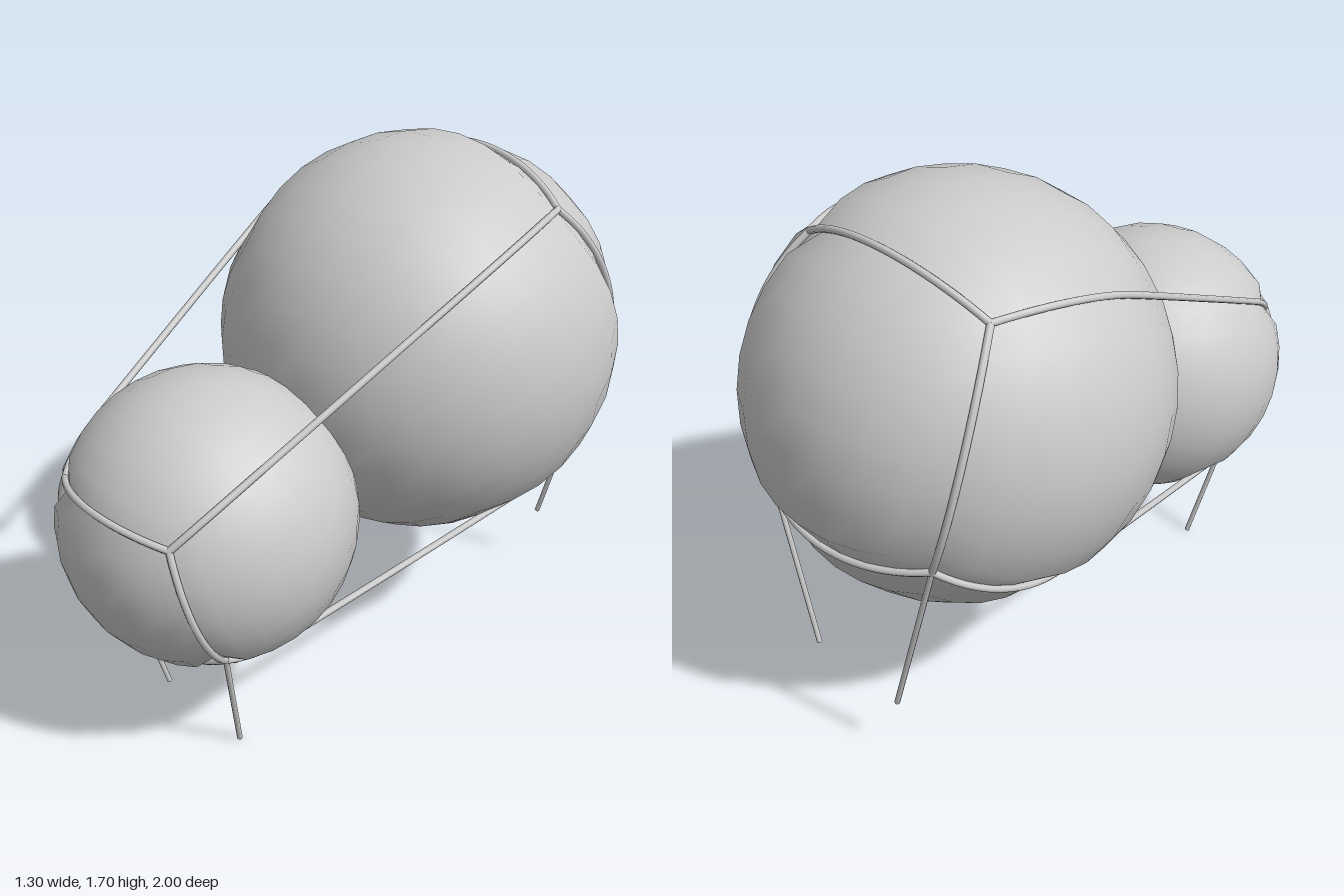
import * as THREE from 'three';

const material = new THREE.MeshStandardMaterial({ color: 0xcccccc });
const TILT = 0.344;        // slope of the line joining the two balls
const GAP = 0.95;          // distance between ball centres
const CORNER = Math.atan(Math.SQRT1_2);
const balls = {
  rear: { z: 0, radius: 0.648, groove: 0.62, cord: 0.628, end: -1 },
  front: { z: GAP, radius: 0.458, groove: 0.432, cord: 0.44, end: 1 },
};
const LEAN = Math.asin((balls.rear.cord - balls.front.cord) / GAP);

function addMesh(parent, geometry, name) {
  const mesh = new THREE.Mesh(geometry, material);
  mesh.name = name;
  parent.add(mesh);
}

function addCord(parent, points, name, radius = 0.011) {
  const path = new THREE.CurvePath();
  for (let i = 1; i < points.length; i++) path.add(new THREE.LineCurve3(points[i - 1], points[i]));
  const curve = points.length > 2 ? new THREE.CatmullRomCurve3(points, false, 'centripetal') : path;
  addMesh(parent, new THREE.TubeGeometry(curve, points.length > 2 ? 40 : 1, radius, 8), name);
}

// Ball made from a rounded-out cube, pinched wherever a cord runs along a cube edge
function ballGeometry({ radius, groove, end }) {
  const geometry = new THREE.BoxGeometry(2, 2, 2, 8, 8, 8);
  const p = geometry.attributes.position, n = geometry.attributes.normal;
  const v = new THREE.Vector3();
  const isEdge = (c) => Math.abs(c) > 0.999;
  for (let i = 0; i < p.count; i++) {
    v.fromBufferAttribute(p, i);
    const ex = isEdge(v.x), ey = isEdge(v.y), capEdge = v.z * end > 0.999 && (ex || ey);
    const longEdge = ex && ey;
    v.set(...v.toArray().map((c) => Math.tan(c * Math.PI / 4))).normalize();
    let r = radius;
    if (capEdge) r = groove;
    else if (longEdge) {
      const past = (Math.asin(v.z) - LEAN) * -end;   // beyond the point where the cord lifts off
      r = Math.min(radius, past > 0 ? groove / Math.cos(past) : groove);
    }
    n.setXYZ(i, v.x, v.y, v.z);
    v.multiplyScalar(r);
    p.setXYZ(i, v.x, v.y, v.z);
  }
  return geometry;
}

// Point of a cube corner pushed onto the ball's cord radius
const cornerPoint = (ball, sx, sy) =>
  new THREE.Vector3(sx, sy, ball.end).setLength(ball.cord).add(new THREE.Vector3(0, 0, ball.z));

// Loop of four arcs around a ball's outer cap
function addLoop(parent, ball, name) {
  const signs = [[1, 1], [-1, 1], [-1, -1], [1, -1]];
  signs.forEach(([ax, ay], k) => {
    const [bx, by] = signs[(k + 1) % 4];
    const points = [];
    for (let i = 0; i <= 10; i++) {
      const t = i / 10;
      points.push(new THREE.Vector3(ax + (bx - ax) * t, ay + (by - ay) * t, ball.end)
        .setLength(ball.cord).add(new THREE.Vector3(0, 0, ball.z)));
    }
    addCord(parent, points, name);
  });
}

// Cord wrapping the rear ball, stretching across, then wrapping the front ball
function addLongCord(parent, sx, sy) {
  const points = [];
  const wrap = (ball, from, to) => {
    for (let i = 0; i <= 8; i++) {
      const a = from + (to - from) * i / 8;
      const out = ball.cord * Math.cos(a) * Math.SQRT1_2;
      points.push(new THREE.Vector3(sx * out, sy * out, ball.z + ball.cord * Math.sin(a)));
    }
  };
  wrap(balls.rear, -CORNER, LEAN);
  wrap(balls.front, LEAN, CORNER);
  addCord(parent, points, 'longCord');
}

export function createModel() {
  const model = new THREE.Group();
  model.name = 'tiedBalls';
  const body = new THREE.Group();
  body.name = 'body';
  body.position.set(0, 1.055, -0.348);
  body.rotation.x = TILT;
  model.add(body);

  for (const [key, ball] of Object.entries(balls)) {
    const geometry = ballGeometry(ball);
    geometry.translate(0, 0, ball.z);
    addMesh(body, geometry, key + 'Ball');
    addLoop(body, ball, key + 'LoopCord');
  }
  for (const sx of [1, -1]) for (const sy of [1, -1]) addLongCord(body, sx, sy);

  // Thin legs hanging from the lower corners
  body.updateMatrixWorld(true);
  for (const s of [1, -1]) {
    const top = (ball) => body.localToWorld(cornerPoint(ball, s, -1));
    addCord(model, [top(balls.front), new THREE.Vector3(s * 0.185, 0, 0.61)], 'frontLeg', 0.009);
    addCord(model, [top(balls.rear), new THREE.Vector3(s * 0.185, 0.21, -0.83)], 'rearLeg', 0.009);
  }
  return model;
}
